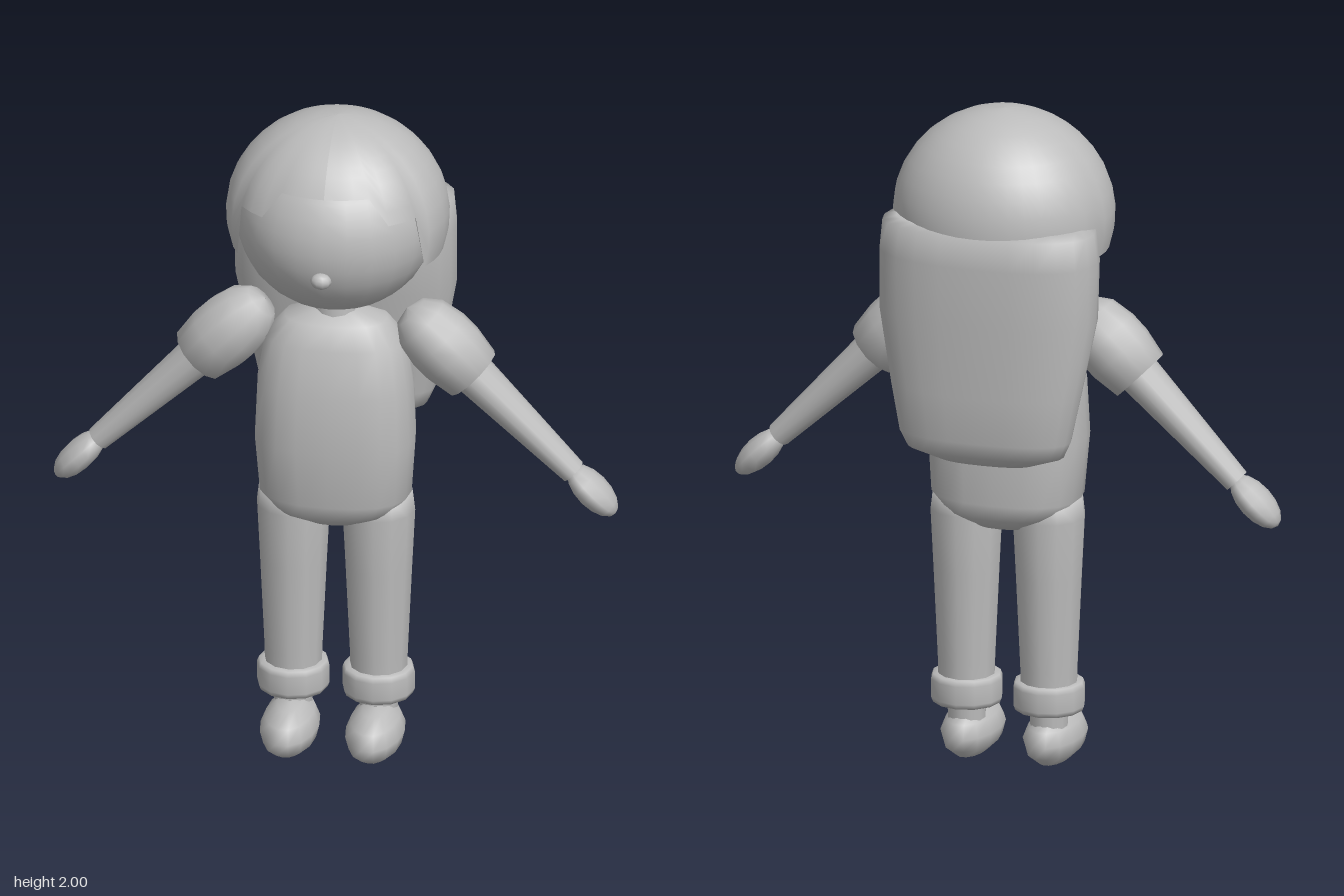
import * as THREE from 'three';

const grey = new THREE.MeshStandardMaterial({ color: 0xbcbcbc, side: THREE.DoubleSide });
grey.name = 'plain grey';

function add(parent, name, geometry, pos = [0, 0, 0], scale = [1, 1, 1]) {
  const mesh = new THREE.Mesh(geometry, grey);
  mesh.name = name;
  mesh.position.set(...pos);
  mesh.scale.set(...scale);
  parent.add(mesh);
  return mesh;
}

// Skin over rounded cross-sections, each [y, half width, front z, back z], from bottom to top
function loft(sections, power, n = 20) {
  const positions = [], index = [];
  const bend = (v) => Math.sign(v) * Math.abs(v) ** (2 / power);
  for (const [y, w, front, back] of sections) {
    for (let i = 0; i < n; i++) {
      const a = (i / n) * Math.PI * 2;
      positions.push(w * bend(Math.cos(a)), y, (front + back) / 2 + ((front - back) / 2) * bend(Math.sin(a)));
    }
  }
  for (let j = 0; j < sections.length - 1; j++) {
    for (let i = 0; i < n; i++) {
      const a = j * n + i, b = j * n + ((i + 1) % n);
      index.push(a, a + n, b, b, a + n, b + n);
    }
  }
  const g = new THREE.BufferGeometry();
  g.setAttribute('position', new THREE.Float32BufferAttribute(positions, 3));
  g.setIndex(index);
  g.computeVertexNormals();
  return g;
}

const lathe = (points, n = 12) =>
  new THREE.LatheGeometry(points.map(([r, y]) => new THREE.Vector2(r, y)), n);

// Hair shell: a sphere whose lower edge follows a stepped hairline
function hairCap() {
  const g = new THREE.SphereGeometry(1, 40, 10, 0, Math.PI * 2, 0, 1);
  const p = g.attributes.position, uv = g.attributes.uv;
  for (let i = 0; i < p.count; i++) {
    const a = uv.getX(i) * Math.PI * 2;
    const off = Math.abs(Math.atan2(Math.sin(a), Math.cos(a))); // angle away from the front
    const edge = off < 0.5 ? 0.5 : off < 0.95 ? 0.24 : off < 1.8 ? -0.32 : -0.15;
    const t = (1 - uv.getY(i)) * Math.acos(edge);
    p.setXYZ(i, 0.325 * Math.sin(t) * Math.sin(a), 0.31 * Math.cos(t), 0.295 * Math.sin(t) * Math.cos(a));
  }
  g.computeVertexNormals();
  return g;
}

export function createModel() {
  const model = new THREE.Group();
  model.name = 'figure';

  // Head
  const head = new THREE.Group();
  head.name = 'head';
  model.add(head);
  add(head, 'face', new THREE.SphereGeometry(1, 24, 16), [0, 1.68, 0], [0.29, 0.27, 0.29]);
  add(head, 'nose', new THREE.SphereGeometry(1, 10, 8), [0, 1.61, 0.295], [0.031, 0.024, 0.025]);
  add(head, 'hairCap', hairCap(), [0, 1.69, -0.015]);
  add(head, 'longHair', loft([
    [0.968, 0.005, -0.17, -0.18],
    [0.975, 0.14, -0.13, -0.23],
    [1.01, 0.235, -0.1, -0.275],
    [1.06, 0.258, -0.09, -0.295],
    [1.2, 0.285, -0.06, -0.307],
    [1.42, 0.325, -0.01, -0.315],
    [1.6, 0.327, 0.01, -0.32],
    [1.69, 0.318, -0.01, -0.31],
    [1.7, 0.28, -0.04, -0.27],
    [1.7, 0.005, -0.15, -0.16],
  ], 2.4, 24), [0, 0, 0]);

  // Torso
  add(model, 'torso', loft([
    [0.715, 0.005, 0.035, 0.025],
    [0.73, 0.09, 0.1, -0.07],
    [0.77, 0.175, 0.16, -0.12],
    [0.82, 0.222, 0.175, -0.135],
    [1.0, 0.235, 0.198, -0.138],
    [1.17, 0.228, 0.18, -0.125],
    [1.31, 0.205, 0.15, -0.1],
    [1.37, 0.15, 0.105, -0.075],
    [1.4, 0.06, 0.06, -0.03],
    [1.405, 0.005, 0.025, 0.015],
  ], 2.5));
  add(model, 'neck', new THREE.CylinderGeometry(0.06, 0.07, 0.12, 12), [0, 1.41, 0.01]);

  for (const s of [1, -1]) {
    const side = s > 0 ? 'left' : 'right';

    // Arm, hanging along its own -y and swung outward
    const arm = new THREE.Group();
    arm.name = side + 'Arm';
    arm.position.set(s * 0.25, 1.365, 0.02);
    arm.rotation.z = (s * Math.PI) / 4;
    model.add(arm);
    add(arm, 'sleeve', lathe([[0.06, -0.213], [0.09, -0.215], [0.104, -0.13], [0.104, -0.07], [0.09, 0], [0.055, 0.045], [0.001, 0.06]]));
    add(arm, 'forearm', new THREE.CylinderGeometry(0.062, 0.037, 0.43, 12), [0, -0.415, 0], [1, 1, 1.15]);
    add(arm, 'hand', new THREE.SphereGeometry(1, 10, 8), [0, -0.71, 0], [0.044, 0.096, 0.07]);

    // Leg, cuff and shoe
    const leg = new THREE.Group();
    leg.name = side + 'Leg';
    leg.position.x = s * 0.125;
    model.add(leg);
    add(leg, 'trouserLeg', lathe([[0.083, 0.22], [0.085, 0.3], [0.098, 0.58], [0.107, 0.76], [0.1, 0.82], [0.001, 0.86]]), [0, 0, 0.018]);
    add(leg, 'cuff', lathe([[0.04, 0.17], [0.1, 0.17], [0.106, 0.185], [0.106, 0.24], [0.1, 0.255], [0.08, 0.257]]), [0, 0, 0.02]);
    add(leg, 'ankle', new THREE.CylinderGeometry(0.058, 0.055, 0.13, 12), [0, 0.145, 0.02]);
    add(leg, 'shoe', loft([
      [0, 0.005, 0.085, 0.075],
      [0.005, 0.045, 0.17, -0.02],
      [0.035, 0.076, 0.225, -0.065],
      [0.075, 0.086, 0.24, -0.08],
      [0.115, 0.07, 0.215, -0.06],
      [0.142, 0.038, 0.15, -0.01],
      [0.147, 0.005, 0.085, 0.075],
    ], 2, 14));
  }
  return model;
}
